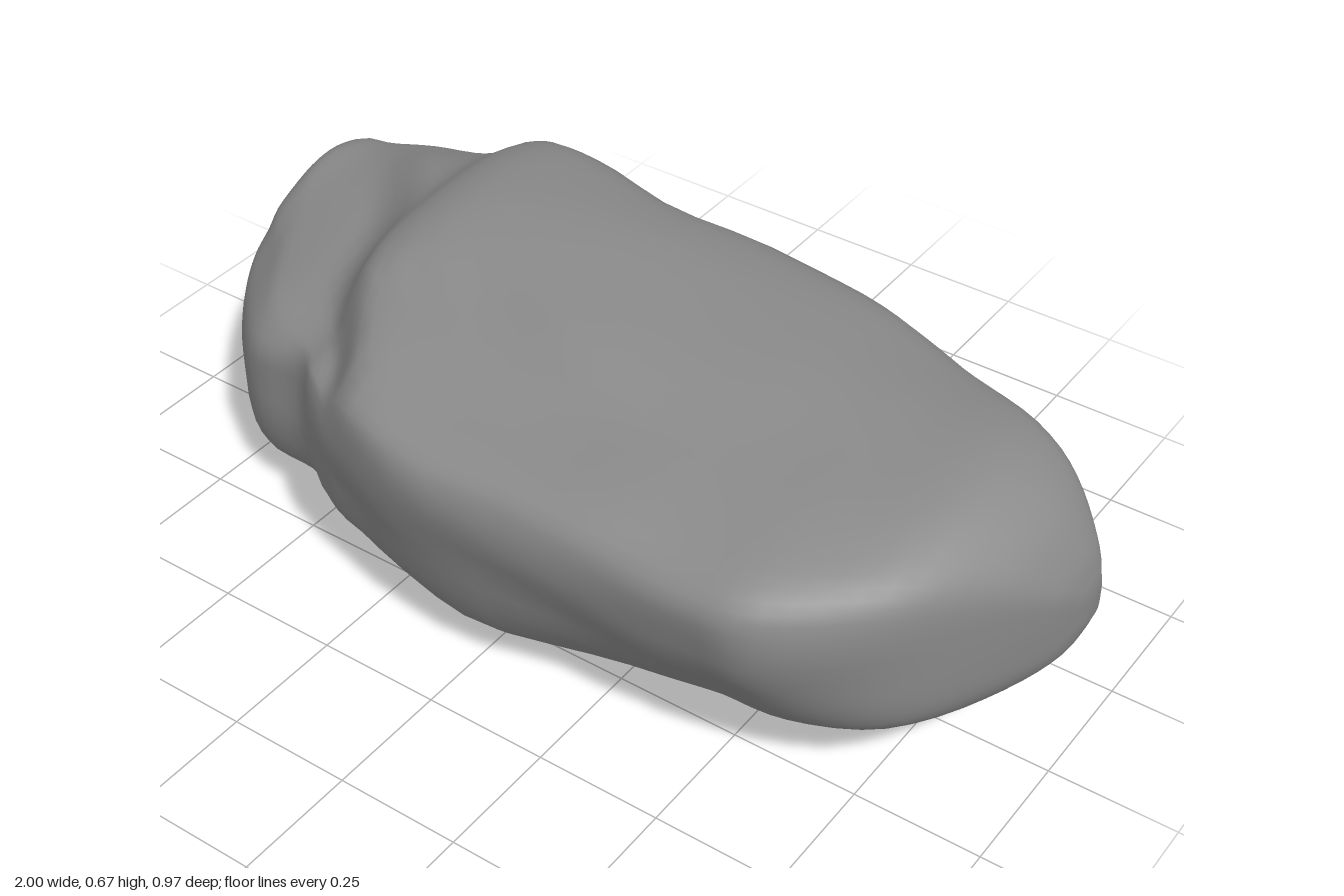
import * as THREE from 'three';

const v3 = (x, y, z) => new THREE.Vector3(x, y, z);

// Cross-sections along the length: x, bottom, top, back z, front z
const SECTIONS = [
  [-1.0, 0.14, 0.22, -0.39, -0.28],
  [-0.975, 0.085, 0.31, -0.425, -0.15],
  [-0.9, 0.05, 0.45, -0.45, -0.03],
  [-0.8, 0.03, 0.48, -0.475, 0.11],
  [-0.65, 0.02, 0.54, -0.487, 0.25],
  [-0.5, 0.025, 0.585, -0.487, 0.285],
  [-0.4, 0.025, 0.65, -0.48, 0.36],
  [-0.27, 0.02, 0.673, -0.467, 0.435],
  [0.0, 0.0, 0.655, -0.46, 0.48],
  [0.33, 0.025, 0.62, -0.435, 0.46],
  [0.5, 0.065, 0.6, -0.4, 0.455],
  [0.64, 0.105, 0.592, -0.335, 0.445],
  [0.8, 0.135, 0.585, -0.25, 0.315],
  [0.91, 0.18, 0.53, -0.185, 0.15],
  [0.975, 0.235, 0.45, -0.14, 0.03],
  [1.0, 0.3, 0.38, -0.11, -0.05],
];

// Shared outline of a section: across (front +1, back -1) and height (0..1)
const OUTLINE = [
  [1, 0.7], [0.9, 0.83], [0.6, 0.91], [0.2, 0.97], [-0.2, 1], [-0.55, 0.98],
  [-0.83, 0.91], [-0.96, 0.72], [-1, 0.48], [-0.94, 0.19], [-0.7, 0.035],
  [-0.2, 0], [0.2, 0.005], [0.5, 0.05], [0.78, 0.18], [0.92, 0.42],
];

const bump = (x, centre, width) => Math.exp(-(((x - centre) / width) ** 2));

// Weathering applied to a point at outline position u (across), v (height)
function weather(p, u, v) {
  const { smoothstep } = THREE.MathUtils;
  const { x, z } = p;
  const front = smoothstep(u, 0.4, 1), back = smoothstep(-u, 0.4, 0.9);
  const upper = smoothstep(v, 0.5, 0.9), lower = 1 - smoothstep(v, 0.1, 0.55);

  // Diagonal step down to the left shelf, whose front slopes outwards
  const edge = x + 0.72 - (z + 0.4) * 0.53 + 0.02 * Math.sin(z * 14);
  const shelf = 1 - smoothstep(edge, -0.08, 0.06);
  p.y -= shelf * smoothstep(u, -0.9, -0.1) * Math.max(0, p.y - 0.46) * 0.6;
  p.y -= shelf * smoothstep(u, -0.4, 0.9) * upper * 0.04;
  p.z += shelf * front * (0.5 - v) * 0.14;

  // Small ledge along the front of the top
  const ledgeLine = z - 0.15 - 0.04 * Math.sin(x * 9);
  const ledge = smoothstep(ledgeLine, -0.03, 0.04) * smoothstep(x, -0.45, -0.3) * (1 - smoothstep(x, 0.1, 0.35));
  p.y -= ledge * smoothstep(v, 0.75, 0.9) * 0.025;

  // Undercut below the front right, fuller back right, lifted back left corner
  p.z -= smoothstep(x, 0.05, 0.35) * (1 - smoothstep(x, 0.6, 0.85)) * front * lower * 0.06;
  const belly = bump(x, 0.5, 0.3) * back * bump(v, 0.22, 0.15);
  p.y -= belly * 0.045;
  p.z -= belly * 0.02;
  p.y += (1 - smoothstep(x, -1, -0.75)) * smoothstep(-u, 0.2, 0.9) * lower * 0.04;

  // Hollows in the upper back, and the right end leaning back towards its top
  p.z += bump(x, -0.1, 0.13) * back * upper * 0.03;
  p.y -= bump(x, -0.58, 0.12) * back * upper * 0.02;
  p.z += smoothstep(x, 0.5, 0.8) * (1 - smoothstep(x, 0.85, 1)) * (0.55 - v) * 0.06;

  // Soft irregular dents
  const fade = 1 - x * x;
  const dent = Math.sin(x * 8 + 2 * Math.sin(v * 6)) * Math.sin(v * 9 + 1.5 * Math.sin(x * 5))
    + 0.5 * Math.sin(x * 17 + v * 6 + u) * Math.sin(v * 15 - x * 6);
  p.z += dent * u * 0.008 * fade;
  p.y += Math.sin(x * 11 + z * 7) * Math.sin(z * 12 - x * 3) * 0.004 * fade;
  return p;
}

function rockGeometry(rows = 64, cols = 56) {
  const spline = (pts, closed) => new THREE.CatmullRomCurve3(pts, closed, 'catmullrom', 0.5);
  const low = spline(SECTIONS.map(([x, y0, , z0]) => v3(x, y0, z0)), false);
  const high = spline(SECTIONS.map(([x, , y1, , z1]) => v3(x, y1, z1)), false);
  const outline = spline(OUTLINE.map(([u, v]) => v3(u, v, 0)), true);
  const positions = [], index = [];

  for (let i = 0; i <= rows; i++) {
    const a = low.getPoint(i / rows), b = high.getPoint(i / rows);
    for (let j = 0; j < cols; j++) {
      const { x: u, y: v } = outline.getPoint(j / cols);
      const p = v3(a.x, a.y + (b.y - a.y) * v, (a.z + b.z) / 2 + (b.z - a.z) / 2 * u);
      positions.push(...weather(p, u, v).toArray());
      if (i === rows) continue;
      const k = (j + 1) % cols, r = i * cols, s = r + cols;
      index.push(r + j, s + j, r + k, r + k, s + j, s + k);
    }
  }

  // Close both ends with a fan
  [0, rows].forEach((row) => {
    const a = low.getPoint(row / rows), b = high.getPoint(row / rows);
    const pole = positions.length / 3;
    positions.push(...weather(a.add(b).multiplyScalar(0.5), 0, 0.5).toArray());
    for (let j = 0; j < cols; j++) {
      const m = row * cols + j, n = row * cols + (j + 1) % cols;
      if (row === 0) index.push(pole, m, n);
      else index.push(pole, n, m);
    }
  });

  const geometry = new THREE.BufferGeometry();
  geometry.setAttribute('position', new THREE.Float32BufferAttribute(positions, 3));
  geometry.setIndex(index);
  geometry.computeVertexNormals();
  return geometry;
}

export function createModel() {
  const group = new THREE.Group();
  group.name = 'boulder';
  const rock = new THREE.Mesh(rockGeometry(), new THREE.MeshStandardMaterial({ color: 0x888888 }));
  rock.name = 'rock';
  group.add(rock);
  return group;
}
